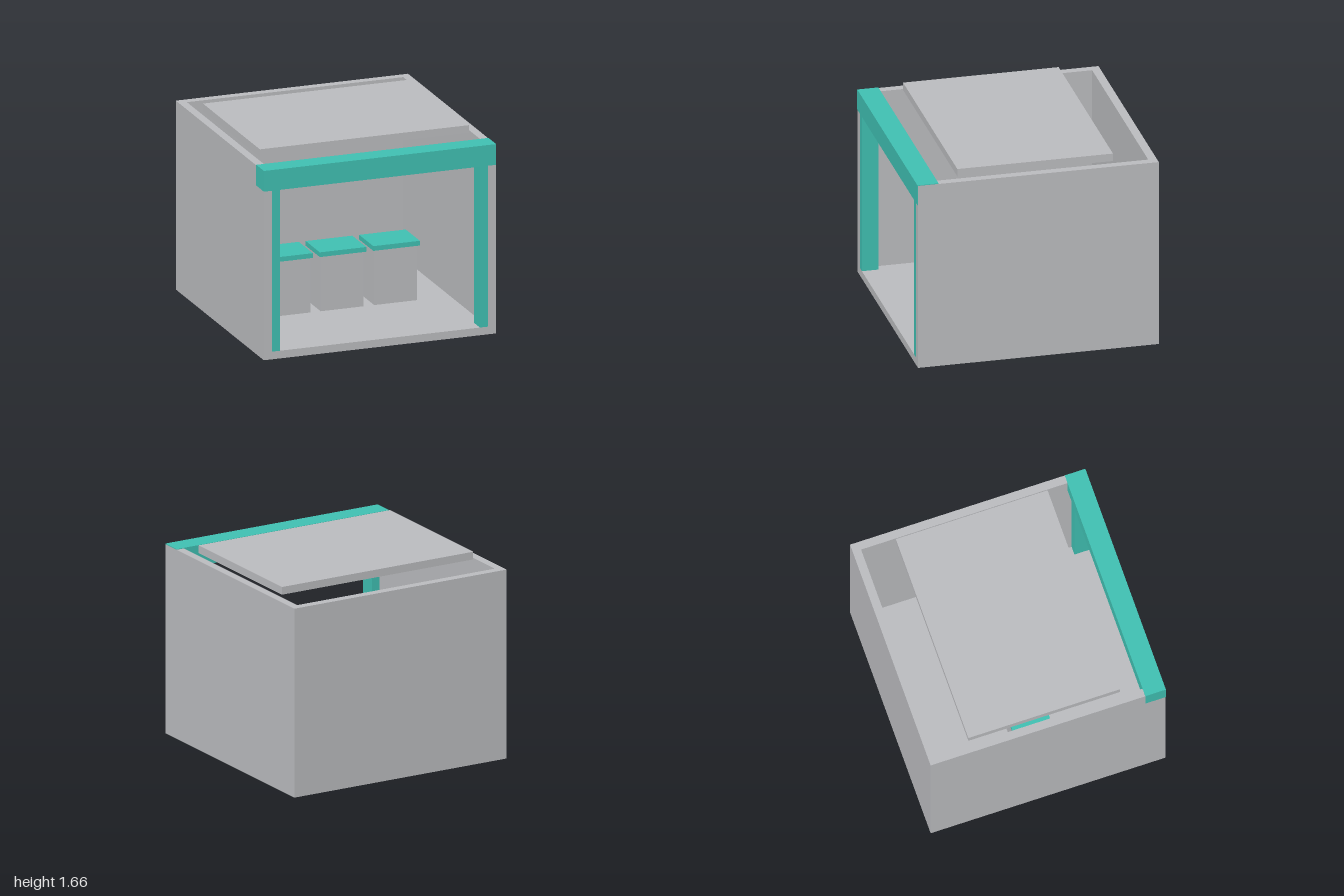
import * as THREE from 'three';

export function createModel() {
  const grey = new THREE.MeshStandardMaterial({ color: 0xbcbdc0 });
  grey.name = 'light grey';
  const teal = new THREE.MeshStandardMaterial({ color: 0x40c1b3 });
  teal.name = 'teal';

  const model = new THREE.Group();
  model.name = 'kiosk';

  // Box given by its minimum and maximum along each axis
  function box(name, material, [x0, x1], [y0, y1], [z0, z1], parent = model) {
    const mesh = new THREE.Mesh(new THREE.BoxGeometry(x1 - x0, y1 - y0, z1 - z0), material);
    mesh.position.set((x0 + x1) / 2, (y0 + y1) / 2, (z0 + z1) / 2);
    mesh.name = name;
    parent.add(mesh);
    return mesh;
  }

  const floorTop = 0.065, wallTop = 1.595, inner = 0.93, outer = 0.999, front = 0.996;

  // Room shell, open at the front and top
  box('floor', grey, [-outer, outer], [0, floorTop], [-1, front]);
  box('backWall', grey, [-outer, outer], [floorTop, wallTop], [-1, -inner]);
  for (const [side, s] of [['left', 1], ['right', -1]]) {
    const span = (a, b) => (s > 0 ? [a, b] : [-b, -a]);
    box(side + 'Wall', grey, span(inner, outer), [floorTop, wallTop], [-inner, front]);
    // Post against the inside of the wall
    box(side + 'Post', teal, span(0.86, inner), [floorTop, 1.425], [0.86, front]);
  }

  // Beam across the entrance and raised roof slab
  box('frontBeam', teal, [-1, 0.998], [1.425, 1.6], [0.825, 1]);
  box('roofSlab', grey, [-0.9, 0.9], [1.6, 1.665], [-0.645, 0.645]);

  // Row of three counters with overhanging tops
  [-0.46, 0, 0.46].forEach((x, i) => {
    const counter = new THREE.Group();
    counter.name = 'counter' + (i + 1);
    counter.position.x = x;
    box('counterBase', grey, [-0.185, 0.185], [floorTop, 0.53], [-0.14, 0.14], counter);
    box('counterTop', teal, [-0.2, 0.2], [0.53, 0.57], [-0.16, 0.16], counter);
    model.add(counter);
  });

  return model;
}
